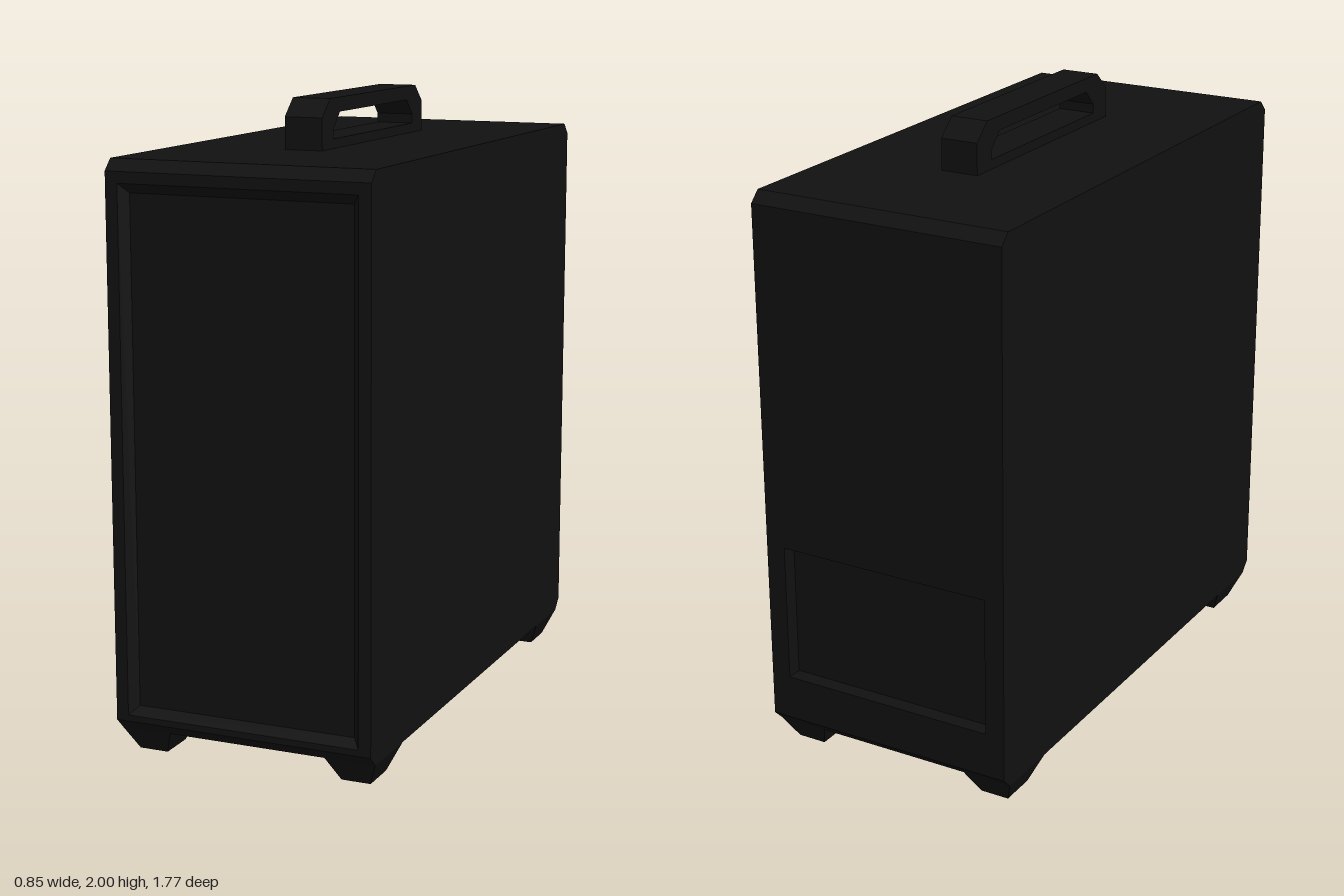
import * as THREE from 'three';

const black = new THREE.MeshStandardMaterial({ color: 0x111111, flatShading: true });

// Closed loft through rectangles [x0, x1, y0, y1, z], capped at both ends
function loft(rects) {
  const rings = rects.map(([x0, x1, y0, y1, z]) => [[x0, y0, z], [x1, y0, z], [x1, y1, z], [x0, y1, z]]);
  const pos = [];
  const quad = (a, b, c, d) => [a, b, c, a, c, d].forEach(p => pos.push(...p));
  const first = rings[0], last = rings[rings.length - 1];
  quad(first[3], first[2], first[1], first[0]);
  for (let r = 0; r < rings.length - 1; r++) {
    for (let i = 0; i < 4; i++) {
      const j = (i + 1) % 4;
      quad(rings[r][i], rings[r][j], rings[r + 1][j], rings[r + 1][i]);
    }
  }
  quad(...last);
  const g = new THREE.BufferGeometry();
  g.setAttribute('position', new THREE.Float32BufferAttribute(pos, 3));
  g.computeVertexNormals();
  return g;
}

function polygon(points, Type = THREE.Shape) {
  return new Type(points.map(p => new THREE.Vector2(...p)));
}

export function createModel() {
  const group = new THREE.Group();
  const add = (name, geometry) => {
    const mesh = new THREE.Mesh(geometry, black);
    mesh.name = name;
    group.add(mesh);
    return mesh;
  };

  // Case body: recessed rear panel, chamfered shell, bevelled front recess
  const rect = (hx, y0, y1, z) => [-hx, hx, y0, y1, z];
  add('caseBody', loft([
    rect(0.36, 0.26, 0.71, -0.835),
    rect(0.36, 0.26, 0.71, -0.885),
    rect(0.425, 0.115, 1.81, -0.885),
    rect(0.425, 0.08, 1.845, -0.85),
    rect(0.425, 0.08, 1.845, 0.85),
    rect(0.425, 0.115, 1.81, 0.885),
    rect(0.385, 0.135, 1.775, 0.885),
    rect(0.36, 0.16, 1.745, 0.855),
  ]));

  // Carry handle: chamfered bar with a chamfered opening, on a thin base
  const outline = polygon([[-0.41, 1.84], [0.41, 1.84], [0.41, 1.945], [0.35, 2], [-0.35, 2], [-0.41, 1.945]]);
  outline.holes.push(polygon(
    [[-0.325, 1.875], [0.325, 1.875], [0.325, 1.905], [0.275, 1.955], [-0.275, 1.955], [-0.325, 1.905]], THREE.Path));
  const handle = new THREE.ExtrudeGeometry(outline, { depth: 0.125, bevelEnabled: false });
  handle.translate(0, 0, -0.0625).rotateY(Math.PI / 2);
  add('handle', handle);

  // Tapered feet at the four corners
  const foot = loft([
    [-0.0475, 0.0475, -0.06, 0.06, 0],
    [-0.0825, 0.0825, -0.1075, 0.1075, 0.08],
  ]).rotateX(-Math.PI / 2);
  for (const [sx, xName] of [[1, 'Left'], [-1, 'Right']]) {
    for (const [sz, zName] of [[1, 'front'], [-1, 'back']]) {
      add(`${zName}${xName}Foot`, foot).position.set(sx * 0.3425, 0, sz * 0.7425);
    }
  }
  return group;
}
